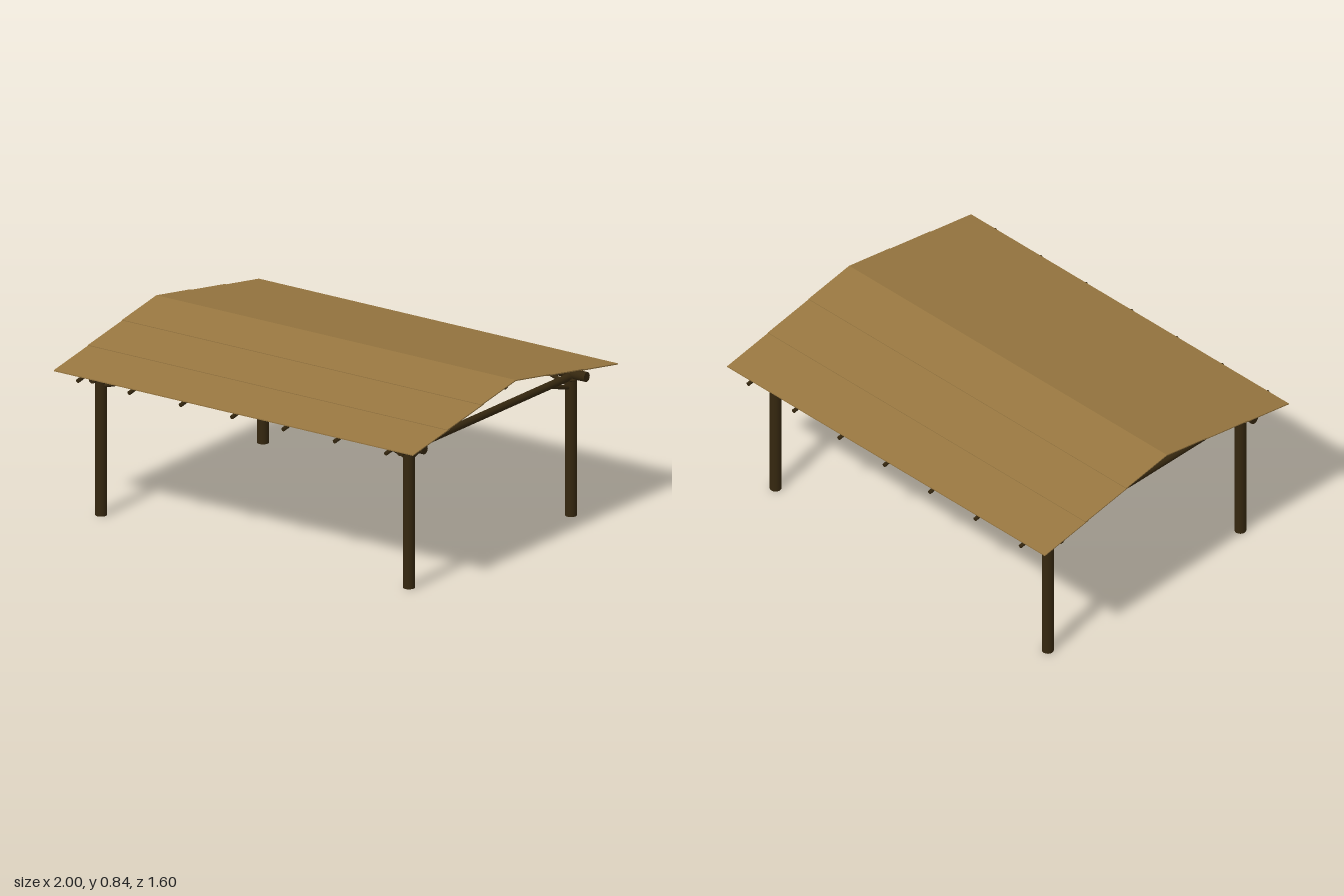
import * as THREE from 'three';

const wood = new THREE.MeshStandardMaterial({ color: 0x35270f });
wood.name = 'dark timber';
const thatch = new THREE.MeshStandardMaterial({ color: 0x977640 });
thatch.name = 'straw roofing';

const UP = new THREE.Vector3(0, 1, 0);

export function createModel() {
  const model = new THREE.Group();
  model.name = 'openShelter';

  // Round pole between two points
  function pole(name, a, b, radius, sides = 16) {
    const start = new THREE.Vector3(...a), end = new THREE.Vector3(...b);
    const dir = end.clone().sub(start);
    const mesh = new THREE.Mesh(new THREE.CylinderGeometry(radius, radius, dir.length(), sides), wood);
    mesh.position.copy(start).add(end).multiplyScalar(0.5);
    mesh.quaternion.setFromUnitVectors(UP, dir.normalize());
    mesh.name = name;
    model.add(mesh);
  }

  const px = 0.857, pz = 0.62;

  // Corner posts with lashings and two braces each
  for (const sx of [-1, 1]) for (const sz of [-1, 1]) {
    const x = sx * px, z = sz * pz;
    pole('post', [x, 0, z], [x, 0.68, z], 0.027);
    const lashing = new THREE.Mesh(new THREE.TorusGeometry(0.027, 0.006, 8, 20), wood);
    lashing.rotation.x = Math.PI / 2;
    lashing.position.set(x, 0.65, z);
    lashing.name = 'lashing';
    model.add(lashing);
    pole('longBrace', [x, 0.614, z], [sx * 0.67, 0.672, z], 0.01, 10);
    pole('crossBrace', [x, 0.608, z], [x, 0.664, sz * 0.43], 0.01, 10);
  }

  // Eave beams, tie beams and ridge pole
  for (const s of [-1, 1]) {
    pole('eaveBeam', [-0.945, 0.675, s * pz], [0.945, 0.675, s * pz], 0.023);
    pole('tieBeam', [s * px, 0.662, -0.69], [s * px, 0.662, 0.69], 0.018);
  }
  pole('ridgePole', [-0.945, 0.813, 0], [0.945, 0.813, 0], 0.025);

  // Seven pairs of rafters
  for (let i = 0; i < 7; i++) {
    const x = -px + i * px / 3;
    for (const s of [-1, 1]) pole('rafter', [x, 0.829, 0], [x, 0.686, s * 0.798], 0.0095, 10);
  }

  // Three lapped roof strips per slope, the upper ones lying over the lower
  for (const s of [-1, 1]) for (let i = 0; i < 3; i++) {
    const step = 0.785 / 3;
    const z0 = i === 0 ? 0 : i * step - 0.02, z1 = (i + 1) * step;
    const y = (z) => 0.844 - z * 0.169 - i * 0.003;
    const profile = new THREE.Shape([
      [z0, y(z0)], [z1, y(z1)], [z1, y(z1) - 0.005], [z0, y(z0) - 0.005],
    ].map(([z, h]) => new THREE.Vector2(-s * z, h)));
    const geometry = new THREE.ExtrudeGeometry(profile, { depth: 2, bevelEnabled: false });
    geometry.translate(0, 0, -1).rotateY(Math.PI / 2);
    const strip = new THREE.Mesh(geometry, thatch);
    strip.name = 'roofStrip';
    model.add(strip);
  }

  return model;
}
